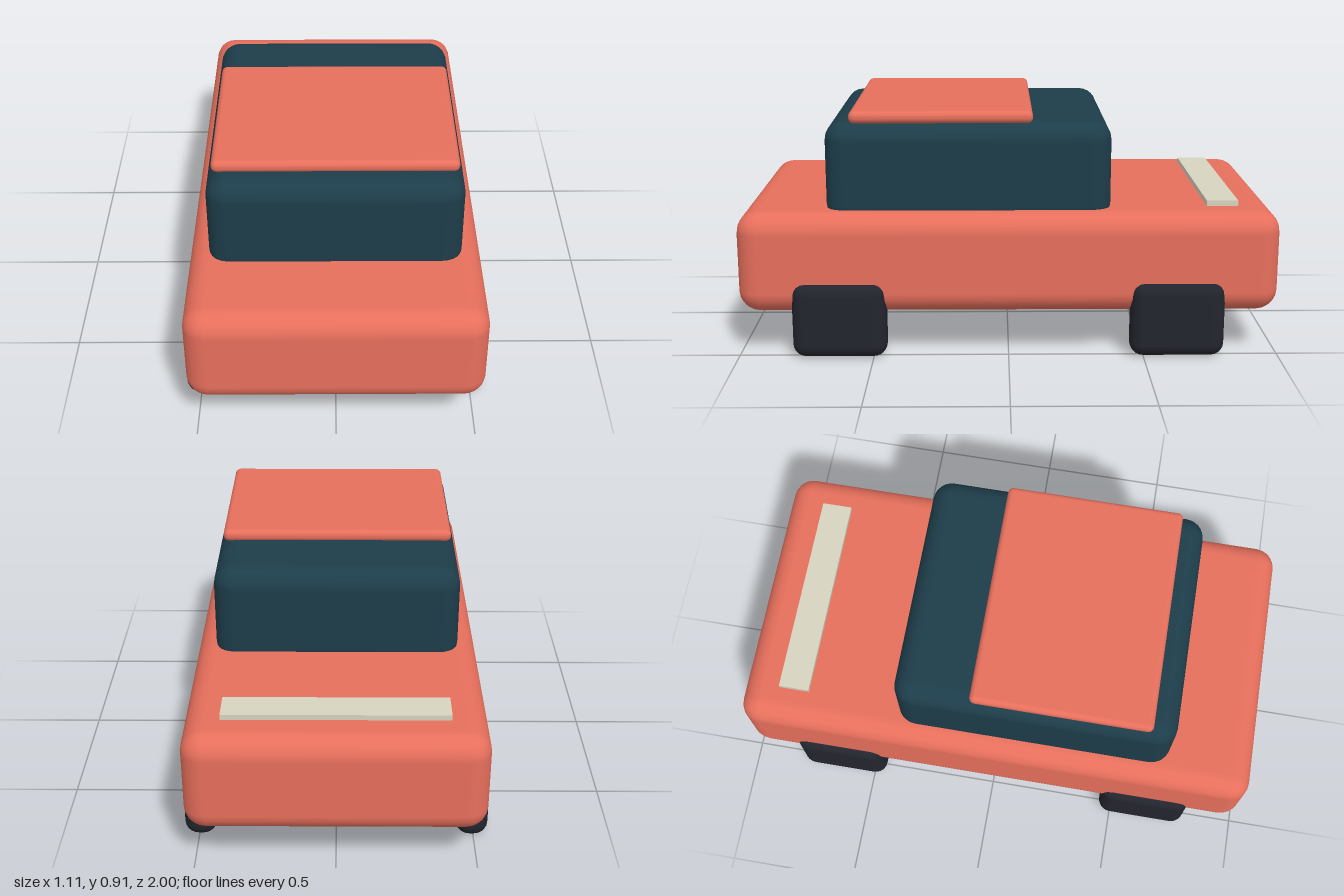
import * as THREE from 'three';
import { RoundedBoxGeometry } from 'three/addons/geometries/RoundedBoxGeometry.js';

const paint = new THREE.MeshStandardMaterial({ color: 0xe76f5c });
const glass = new THREE.MeshStandardMaterial({ color: 0x1d3d4a });
const rubber = new THREE.MeshStandardMaterial({ color: 0x23252e });
const trim = new THREE.MeshStandardMaterial({ color: 0xd8d4c0 });

// Box spanning the given [min, max] ranges, rounded when a radius is given
function block(name, [x0, x1], [y0, y1], [z0, z1], radius, material) {
  const size = [x1 - x0, y1 - y0, z1 - z0];
  const geometry = radius
    ? new RoundedBoxGeometry(...size, 3, radius)
    : new THREE.BoxGeometry(...size);
  const mesh = new THREE.Mesh(geometry, material);
  mesh.name = name;
  mesh.position.set((x0 + x1) / 2, (y0 + y1) / 2, (z0 + z1) / 2);
  return mesh;
}

export function createModel() {
  const car = new THREE.Group();
  car.name = 'car';

  // Body, cabin and roof panel
  car.add(
    block('body', [-0.53, 0.53], [0.164, 0.543], [-1, 1], 0.08, paint),
    block('cabin', [-0.455, 0.455], [0.48, 0.868], [-0.38, 0.675], 0.075, glass),
    block('roofPanel', [-0.435, 0.435], [0.86, 0.906], [-0.09, 0.583], 0.021, paint),
  );

  // Thin light strip on the rear deck
  car.add(block('rearStrip', [-0.397, 0.397], [0.535, 0.563], [-0.855, -0.738], 0, trim));

  // Four block wheels
  for (const [side, x] of [['Left', 0.494], ['Right', -0.494]]) {
    for (const [end, z] of [['front', 0.625], ['rear', -0.625]]) {
      car.add(block(`${end}${side}Wheel`, [x - 0.059, x + 0.059], [0, 0.29],
        [z - 0.175, z + 0.175], 0.05, rubber));
    }
  }
  return car;
}
